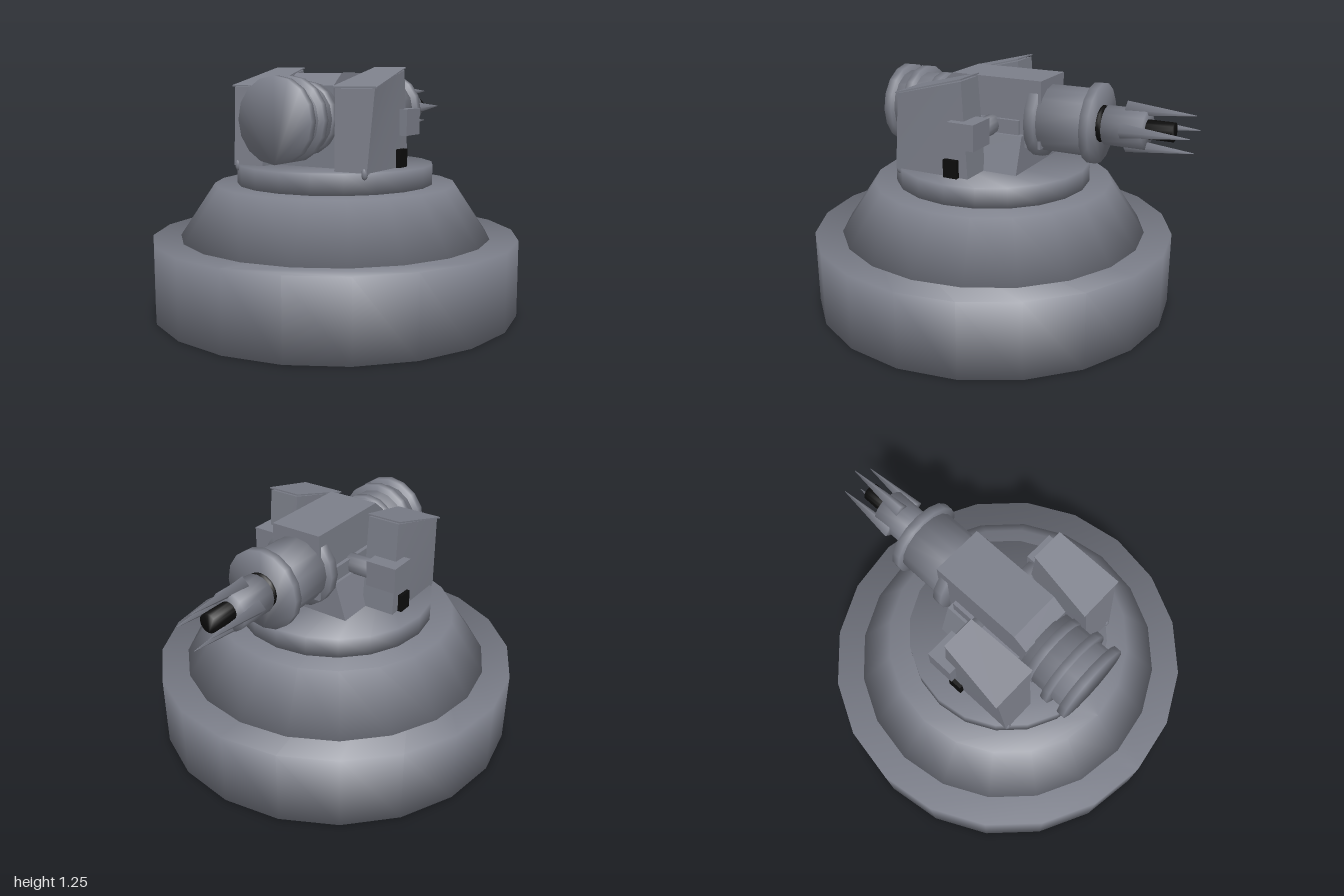
import * as THREE from 'three';

const grey = new THREE.MeshStandardMaterial({ color: 0x7c7f8a });
const black = new THREE.MeshStandardMaterial({ color: 0x0c0c0c });

function add(parent, name, geo, mat = grey) {
  const mesh = new THREE.Mesh(geo, mat);
  mesh.name = name;
  parent.add(mesh);
  return mesh;
}

// closed round solid whose rims share one normal between wall and cap
function round(rTop, rBottom, height, n) {
  const points = [], normals = [], faces = [];
  const slope = Math.atan2(rBottom - rTop, height);
  const capWeight = 1 - 2 / n;
  for (const end of [1, -1]) {
    const r = end > 0 ? rTop : rBottom;
    for (let i = 0; i < n; i++) {
      const a = i / n * Math.PI * 2;
      points.push(r * Math.sin(a), end * height / 2, r * Math.cos(a));
      normals.push(...new THREE.Vector3(Math.sin(a) * Math.cos(slope),
        Math.sin(slope) + end * capWeight, Math.cos(a) * Math.cos(slope)).normalize().toArray());
    }
  }
  for (let i = 0; i < n; i++) {
    const j = (i + 1) % n;
    faces.push(i, n + i, n + j, i, n + j, j);
  }
  for (let i = 1; i < n - 1; i++) faces.push(0, i, i + 1, n, n + i + 1, n + i);
  const geo = new THREE.BufferGeometry();
  geo.setAttribute('position', new THREE.Float32BufferAttribute(points, 3));
  geo.setAttribute('normal', new THREE.Float32BufferAttribute(normals, 3));
  geo.setIndex(faces);
  return geo;
}

// upright round tier
const tier = (rTop, rBottom, y0, y1) =>
  round(rTop, rBottom, y1 - y0, 20).translate(0, (y0 + y1) / 2, 0.053);

// cylinder lying along z
const drum = (r, z0, z1, y) =>
  round(r, r, z1 - z0, 16).rotateX(Math.PI / 2).translate(0, y, (z0 + z1) / 2);

// box given by its min and max on each axis
function box(x0, x1, y0, y1, z0, z1) {
  return new THREE.BoxGeometry(x1 - x0, y1 - y0, z1 - z0)
    .translate((x0 + x1) / 2, (y0 + y1) / 2, (z0 + z1) / 2);
}

// six-sided block whose corners follow a rule: corner(sx, sy, sz) with signs
function block(corner) {
  const geo = new THREE.BoxGeometry(2, 2, 2);
  const p = geo.attributes.position;
  for (let i = 0; i < p.count; i++) p.setXYZ(i, ...corner(p.getX(i), p.getY(i), p.getZ(i)));
  geo.computeVertexNormals();
  return geo;
}

export function createModel() {
  const model = new THREE.Group();
  model.name = 'turret';

  // stepped round base
  add(model, 'baseDrum', tier(0.945, 0.945, 0, 0.388));
  add(model, 'baseCone', tier(0.622, 0.802, 0.388, 0.658));
  add(model, 'turntable', tier(0.507, 0.507, 0.658, 0.76));

  // pedestal, narrower at the top from side to side
  add(model, 'pedestal', block((sx, sy, sz) =>
    [sx * (sy > 0 ? 0.17 : 0.23), sy > 0 ? 0.945 : 0.76, sz > 0 ? 0.3 : -0.195]));
  add(model, 'pivotBlock', box(-0.155, 0.155, 0.94, 1.017, -0.17, 0.25));

  // gun body with a sloped front end to its top, extruded across x
  const profile = new THREE.Shape([
    [0.285, 1.16], [0.21, 1.22], [-0.28, 1.22], [-0.28, 0.88], [0.285, 0.88],
  ].map(([z, y]) => new THREE.Vector2(-z, y)));
  const body = new THREE.ExtrudeGeometry(profile, { depth: 0.27, bevelEnabled: false });
  add(model, 'gunBody', body.translate(0, 0, -0.135).rotateY(Math.PI / 2));

  // ringed drum at the front: radius, z from, z to
  const front = new THREE.Group();
  front.name = 'frontDrum';
  model.add(front);
  [[0.175, 0.28, 0.58], [0.182, 0.32, 0.362], [0.207, 0.445, 0.482], [0.207, 0.55, 0.59]]
    .forEach(([r, z0, z1], i) => add(front, i ? 'drumRing' + i : 'drumCore', drum(r, z0, z1, 1.003)));

  // flanged barrel at the rear
  const barrel = new THREE.Group();
  barrel.name = 'barrel';
  model.add(barrel);
  add(barrel, 'barrelSleeve', drum(0.167, -0.52, -0.22, 1.015));
  add(barrel, 'innerFlange', drum(0.198, -0.265, -0.215, 1.015));
  add(barrel, 'outerFlange', drum(0.198, -0.545, -0.502, 1.015));
  add(barrel, 'barrelSeal', drum(0.09, -0.556, -0.54, 1.015), black);
  add(barrel, 'muzzle', drum(0.097, -0.775, -0.573, 1.012));
  add(barrel, 'muzzleCore', drum(0.047, -0.905, -0.7, 1.015), black);

  // four spikes around the muzzle
  for (let i = 0; i < 4; i++) {
    const a = i * Math.PI / 2;
    const spike = add(barrel, 'muzzleSpike' + (i + 1),
      round(0.002, 0.037, 0.332, 4).rotateX(-Math.PI / 2));
    spike.position.set(0.09 * Math.cos(a), 1.015 + 0.09 * Math.sin(a), -0.836);
  }

  // side armour with its fittings, mirrored
  for (const s of [1, -1]) {
    const side = new THREE.Group();
    side.name = s > 0 ? 'leftSide' : 'rightSide';
    model.add(side);
    const mid = s * 0.299;
    // leaning shield, wider towards the top front
    add(side, 'shield', block((sx, sy, sz) => sy > 0
      ? [mid + sx * (sz > 0 ? 0.107 : 0.082), sz > 0 ? 1.15 : 1.235, sz > 0 ? 0.362 : 0.02]
      : [mid + sx * 0.088, 0.755, sz > 0 ? 0.402 : -0.013]));
    // thin sloping cap
    add(side, 'shieldCap', block((sx, sy, sz) =>
      [mid + sx * (sz > 0 ? 0.121 : 0.088), (sz > 0 ? 1.152 : 1.242) + (sy > 0 ? 0.007 : 0),
        sz > 0 ? 0.367 : 0.018]));
    add(side, 'shieldFoot', new THREE.SphereGeometry(0.016, 10, 8)
      .scale(1, 1.8, 1).translate(s * 0.37, 0.757, 0.392));
    add(side, 'sideRod', round(0.05, 0.05, 0.2, 12)
      .rotateZ(Math.PI / 2).translate(s * 0.2, 0.98, -0.013));
    const xs = (a, b) => (s > 0 ? [a, b] : [-b, -a]);
    add(side, 'sideBox', box(...xs(0.265, 0.425), 0.915, 1.045, -0.068, 0.075));
    add(side, 'vent', box(...xs(0.33, 0.41), 0.76, 0.85, 0.036, 0.112), black);
  }
  return model;
}
